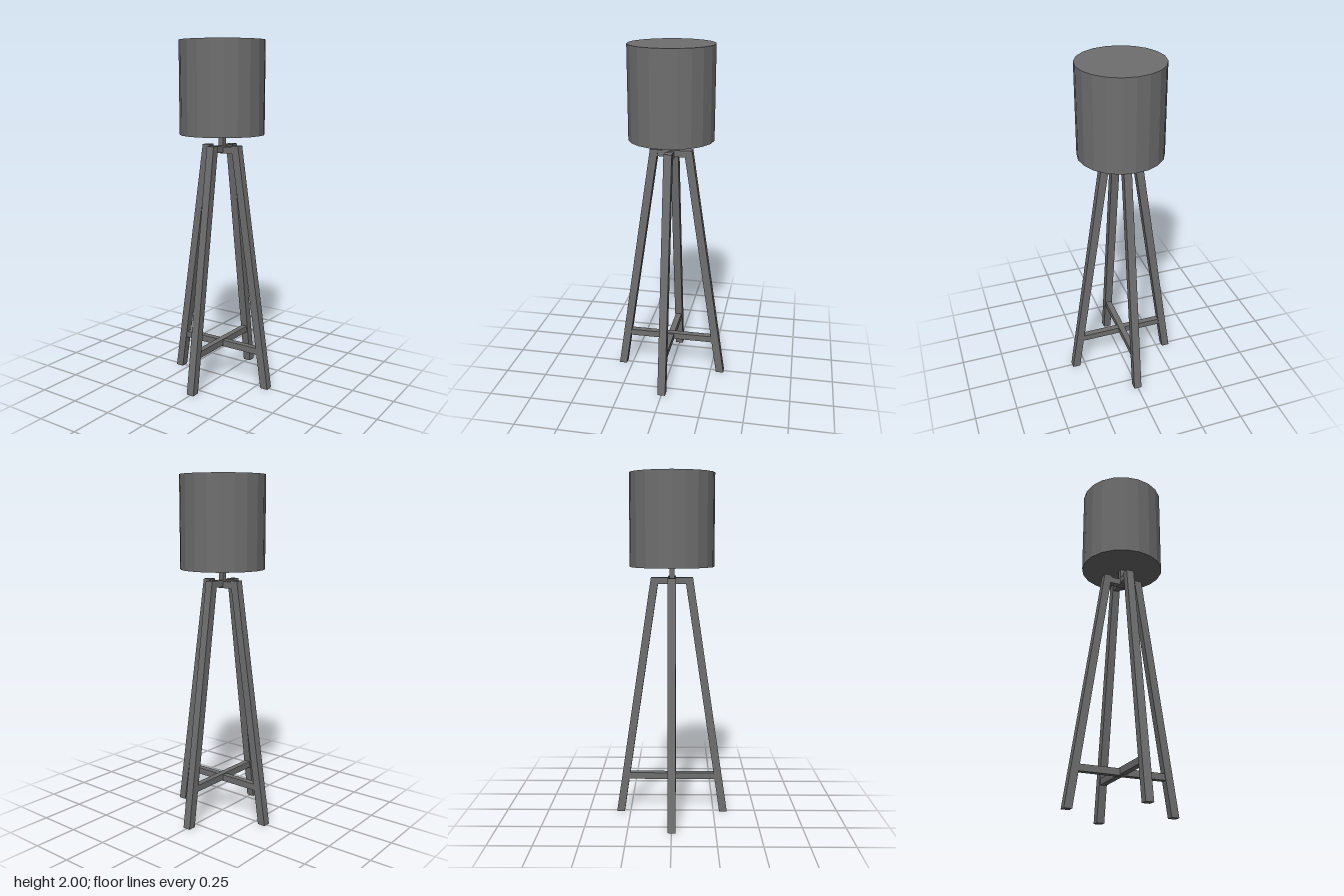
import * as THREE from 'three';

export function createModel() {
  const group = new THREE.Group();
  const material = new THREE.MeshStandardMaterial({ color: 0x6f6f6f, flatShading: true });

  function add(name, geometry, y) {
    const mesh = new THREE.Mesh(geometry, material);
    mesh.name = name;
    mesh.position.y = y;
    group.add(mesh);
    return mesh;
  }

  // Drum shade with closed ends
  add('shade', new THREE.CylinderGeometry(0.243, 0.243, 0.525, 20), 1.7375);

  // Slim square stem from the upper braces into the shade
  add('stem', new THREE.BoxGeometry(0.03, 0.13, 0.03), 1.435);

  // Four leaning legs: upright boxes sheared inward, so both ends stay level
  const legHeight = 1.415, footX = 0.309, topX = 0.098;
  const legGeometry = new THREE.BoxGeometry(0.046, legHeight, 0.046);
  legGeometry.translate(0, legHeight / 2, 0);
  const p = legGeometry.attributes.position;
  for (let i = 0; i < p.count; i++) {
    p.setX(i, p.getX(i) + THREE.MathUtils.lerp(footX, topX, p.getY(i) / legHeight));
  }
  legGeometry.computeVertexNormals();
  ['leftLeg', 'backLeg', 'rightLeg', 'frontLeg'].forEach((name, i) => {
    add(name, legGeometry, 0).rotation.y = i * Math.PI / 2;
  });

  // Crossed braces joining opposite legs, low down and at the top
  const braces = [
    ['lowerBraceAcross', 0.55, 0.218, 0],
    ['lowerBraceDeep', 0.55, 0.224, Math.PI / 2],
    ['upperBraceAcross', 0.2, 1.387, 0],
    ['upperBraceDeep', 0.2, 1.394, Math.PI / 2],
  ];
  for (const [name, length, y, turn] of braces) {
    add(name, new THREE.BoxGeometry(length, 0.038, 0.036), y).rotation.y = turn;
  }

  return group;
}
